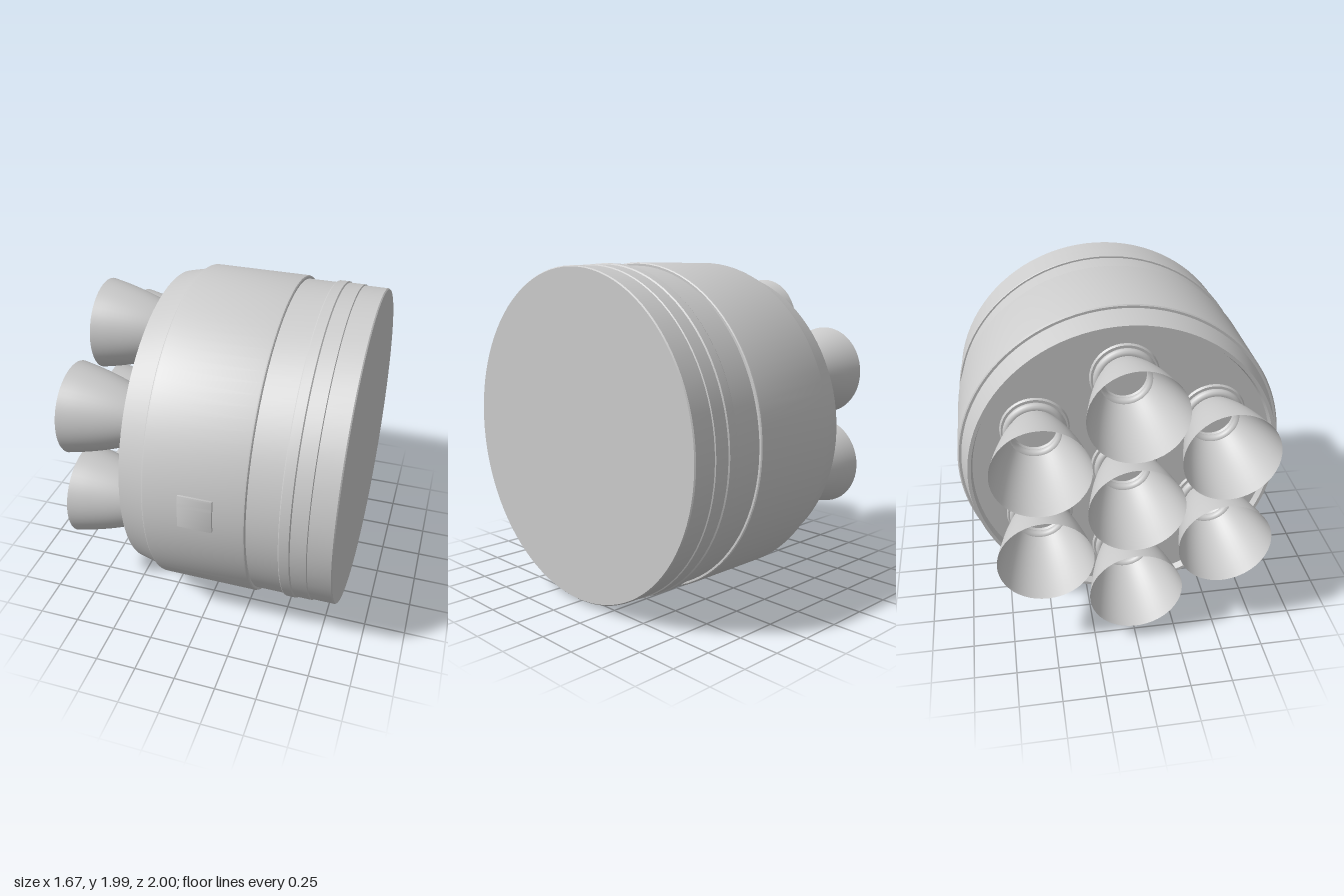
import * as THREE from 'three';
import { toCreasedNormals } from 'three/addons/utils/BufferGeometryUtils.js';

const CY = 0.993, CZ = -0.007; // main axis, parallel to x
const grey = new THREE.MeshStandardMaterial({ color: 0xcccccc });
const greyThin = new THREE.MeshStandardMaterial({ color: 0xcccccc, side: THREE.DoubleSide });

// Turn a profile of [x along axis, radius] pairs around the x axis
function turned(name, profile, segments, material = grey) {
  const points = profile.map(([x, r]) => new THREE.Vector2(r, x));
  const geometry = new THREE.LatheGeometry(points, segments).rotateZ(-Math.PI / 2);
  const mesh = new THREE.Mesh(toCreasedNormals(geometry, 0.45), material);
  mesh.name = name;
  return mesh;
}

// One engine: flared bell, round collar and mounting ring
function createEngine() {
  const engine = new THREE.Group();
  const curve = new THREE.SplineCurve([
    [-0.835, 0.278], [-0.73, 0.256], [-0.62, 0.227], [-0.52, 0.194], [-0.415, 0.152], [-0.362, 0.128],
  ].map(([x, r]) => new THREE.Vector2(x, r)));
  const profile = curve.getPoints(20).map((p) => [p.x, p.y]);
  engine.add(turned('bell', profile, 48, greyThin));

  const collar = new THREE.Mesh(new THREE.TorusGeometry(0.158, 0.028, 12, 48).rotateY(Math.PI / 2), grey);
  collar.position.x = -0.392;
  collar.name = 'collar';
  engine.add(collar);

  engine.add(turned('mountingRing', [[-0.36, 0.14], [-0.372, 0.15], [-0.372, 0.195], [-0.358, 0.205]], 48));
  return engine;
}

// Raised hatch that follows the curve of the body side
function createHatch() {
  const a0 = -0.032, a1 = 0.17, inner = 0.97, outer = 1.003, bevel = 0.004;
  const shape = new THREE.Shape();
  shape.absarc(0, 0, outer, a0 + bevel, a1 - bevel, false);
  shape.absarc(0, 0, inner, a1 - bevel, a0 + bevel, true);
  shape.closePath();
  const geometry = new THREE.ExtrudeGeometry(shape, {
    depth: 0.192, bevelEnabled: true, bevelSize: bevel, bevelThickness: bevel, bevelSegments: 2, curveSegments: 10,
  });
  // Shape x becomes +z, extrusion runs towards -x
  geometry.rotateY(-Math.PI / 2).translate(0.161, 0, 0);
  const hatch = new THREE.Mesh(toCreasedNormals(geometry, 0.5), grey);
  hatch.name = 'hatch';
  return hatch;
}

export function createModel() {
  const model = new THREE.Group();
  model.name = 'rocketEngineSection';
  const stage = new THREE.Group();
  stage.name = 'stage';
  stage.position.set(0, CY, CZ);
  model.add(stage);

  // Recessed base plate, tapered skirt, wide band, stepped front end and flat cap
  stage.add(turned('body', [
    [-0.36, 0], [-0.36, 0.905], [-0.405, 0.915], [-0.405, 0.935],
    [-0.25, 0.97], [-0.25, 0.984], [-0.244, 0.991], [-0.236, 0.993],
    [0.334, 0.993], [0.342, 0.991], [0.347, 0.985], [0.347, 0.973],
    [0.53, 0.973], [0.53, 0.983], [0.535, 0.986], [0.59, 0.986], [0.596, 0.979],
    [0.686, 0.979], [0.69, 0.973], [0.824, 0.973], [0.831, 0.967], [0.831, 0],
  ], 96));

  stage.add(createHatch());

  // One central engine and a hexagon of six around it
  for (let i = 0; i < 7; i++) {
    const engine = createEngine();
    engine.name = i === 6 ? 'centreEngine' : 'outerEngine' + (i + 1);
    if (i < 6) {
      const a = (i * Math.PI) / 3;
      engine.position.set(0, 0.606 * Math.cos(a), 0.606 * Math.sin(a));
    }
    stage.add(engine);
  }
  return model;
}
